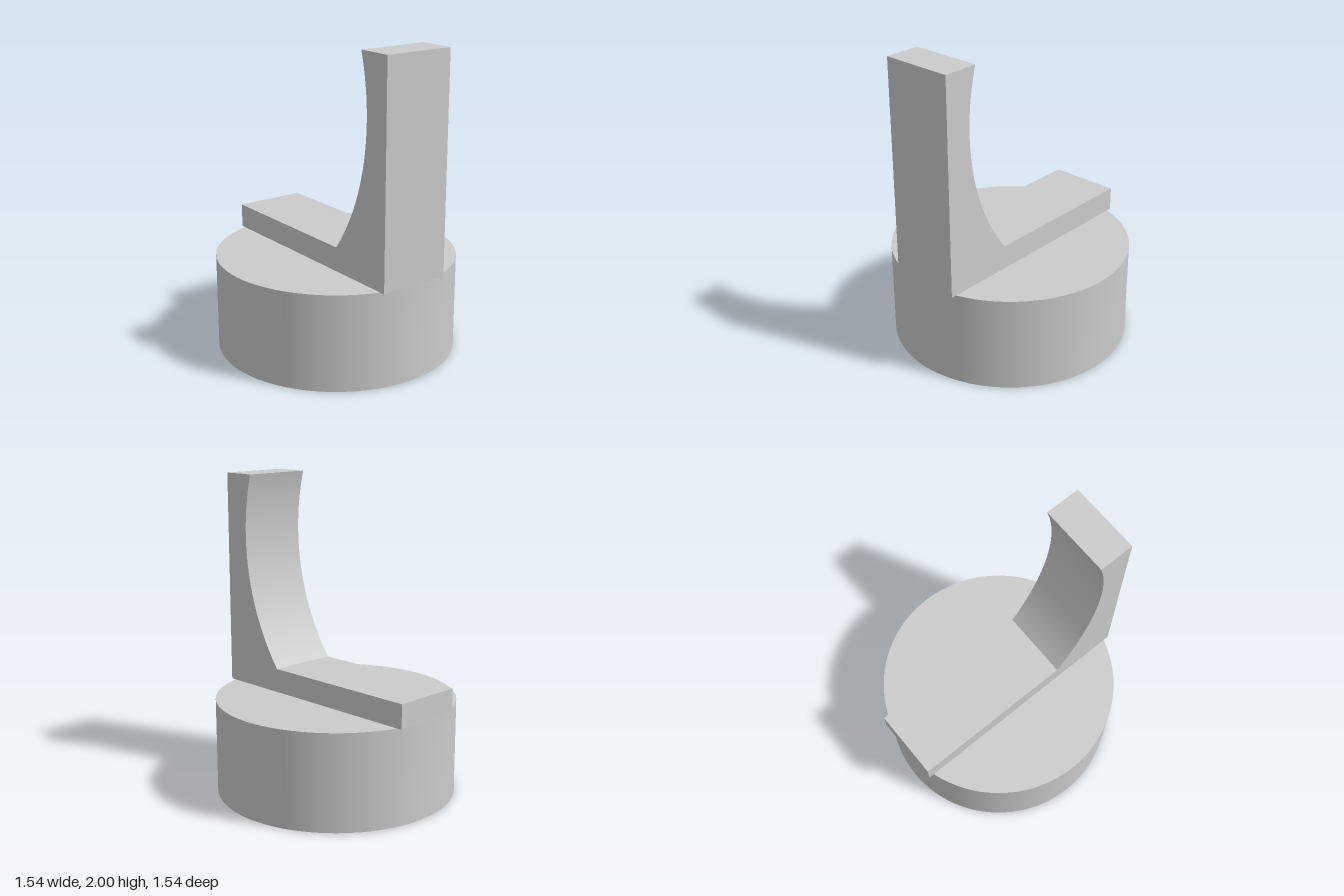
import * as THREE from 'three';
import { toCreasedNormals } from 'three/addons/utils/BufferGeometryUtils.js';

export function createModel() {
  const group = new THREE.Group();
  const material = new THREE.MeshStandardMaterial({ color: 0xcccccc });
  const R = 0.769, baseTop = 0.615, barTop = 0.769, halfDepth = 0.23;

  // Round base
  const base = new THREE.Mesh(new THREE.CylinderGeometry(R, R, baseTop, 96), material);
  base.name = 'base';
  base.position.y = baseTop / 2;
  group.add(base);

  // Flat bar and upright in one profile, with a concave circular inner face
  const cx = -0.795, cy = 1.615, r = 1.39;
  const angleAt = (y) => Math.asin((y - cy) / r);
  const profile = new THREE.Shape();
  profile.moveTo(-R, baseTop);
  profile.lineTo(R, baseTop);
  profile.lineTo(R, 2);
  profile.absarc(cx, cy, r, angleAt(2), angleAt(barTop), true);
  profile.lineTo(-R, barTop);
  profile.closePath();

  const bracketGeometry = new THREE.ExtrudeGeometry(profile, {
    depth: 2 * halfDepth, bevelEnabled: false, curveSegments: 32,
  });
  bracketGeometry.translate(0, 0, -halfDepth);
  const bracket = new THREE.Mesh(toCreasedNormals(bracketGeometry, 0.4), material);
  bracket.name = 'bracket';
  group.add(bracket);

  return group;
}
